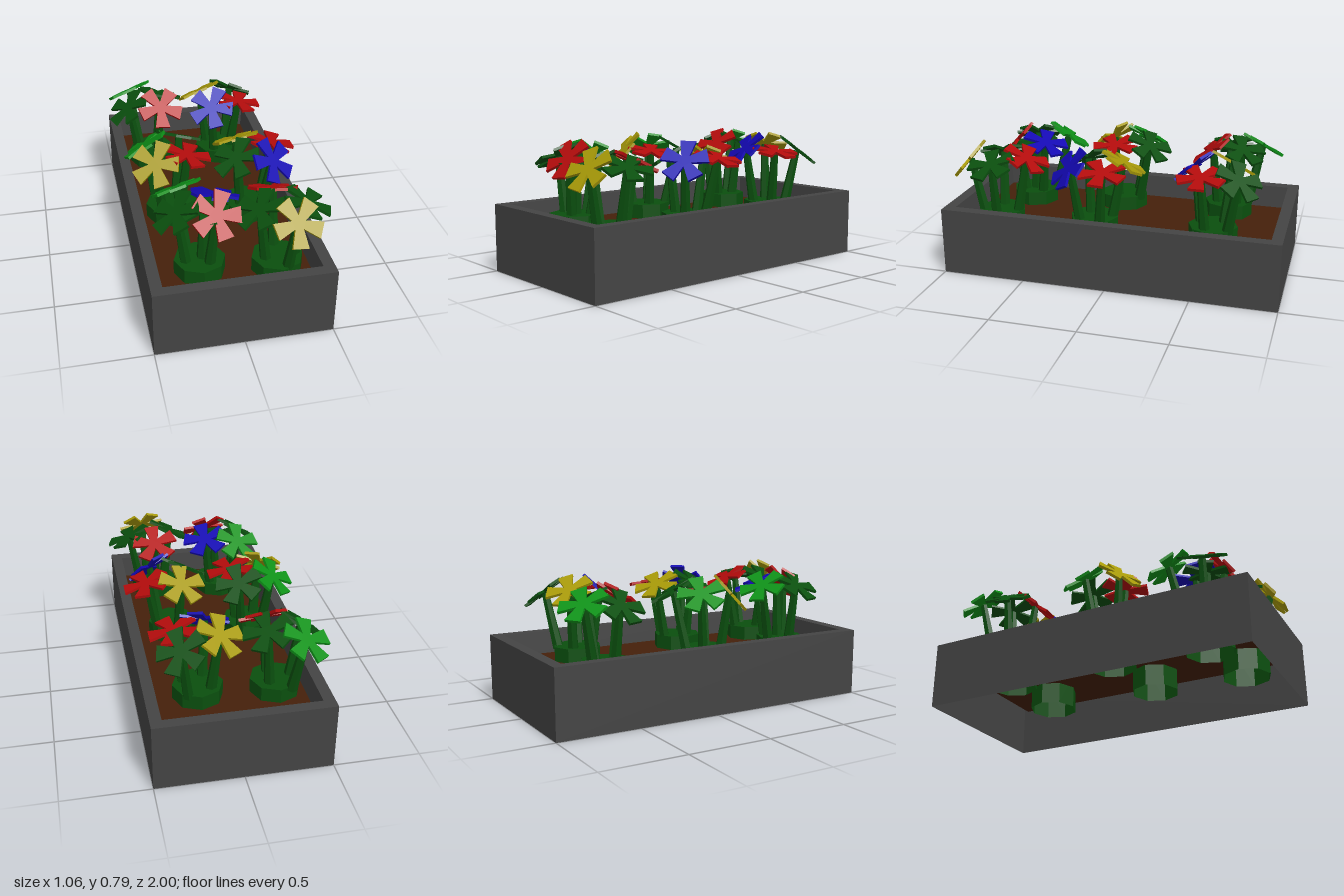
import * as THREE from 'three';

const mat = (color, side = THREE.FrontSide) =>
  new THREE.MeshStandardMaterial({ color, side, flatShading: true });

const SOIL_Y = 0.265;
const leafGreen = 0x0a4f0e;
const COLORS = { leaf: leafGreen, green: 0x0e9218, red: 0xb40c0c, blue: 0x1408b4, yellow: 0xa89a08 };

// Each pot: centre x, z and its flowers [colour, x, y, z, lean in x, lean in z, roll]
const POTS = [
  { x: -0.26, z: -0.59, flowers: [
    ['green', -0.37, 0.68, -0.77, -0.4, -0.5], ['leaf', -0.19, 0.69, -0.67, 0.3, -0.3],
    ['leaf', -0.4, 0.66, -0.57, -0.7, 0.2], ['red', -0.21, 0.68, -0.49, 0.1, 0.8]] },
  { x: 0.18, z: -0.57, flowers: [
    ['yellow', 0.075, 0.69, -0.655, -0.4, -0.5], ['leaf', 0.29, 0.66, -0.72, 0.5, -0.6],
    ['red', 0.3, 0.66, -0.51, 0.2, 0, 0.31], ['blue', 0.115, 0.67, -0.445, -0.3, 0.9]] },
  { x: -0.25, z: 0.08, flowers: [
    ['green', -0.37, 0.68, -0.04, -0.6, -0.4], ['leaf', -0.16, 0.68, -0.1, 0.3, -0.5],
    ['red', -0.15, 0.67, 0.115, 0.2, 0, 0.31], ['yellow', -0.34, 0.67, 0.17, -0.5, 1]] },
  { x: 0.21, z: 0.14, flowers: [
    ['yellow', 0.175, 0.67, -0.025, -0.2, -0.5], ['red', 0.37, 0.66, 0.045, 0.25, -0.05, 0.31],
    ['blue', 0.325, 0.66, 0.25, 0.7, 0.9], ['leaf', 0.13, 0.67, 0.2, -0.5, 0.4]] },
  { x: -0.185, z: 0.66, flowers: [
    ['green', -0.27, 0.68, 0.46, -0.3, -0.6], ['blue', -0.08, 0.67, 0.55, 0.2, -0.35],
    ['red', -0.11, 0.67, 0.74, 0.2, 1.1, 0.31], ['leaf', -0.31, 0.67, 0.68, -0.6, 0.2],
    ['leaf', -0.16, 0.65, 0.65, 0, 0.1]] },
  { x: 0.24, z: 0.72, flowers: [
    ['red', 0.25, 0.67, 0.55, 0.1, -0.5], ['leaf', 0.395, 0.66, 0.71, 0.4, 0.1],
    ['yellow', 0.295, 0.66, 0.88, 0.2, 1.2], ['leaf', 0.13, 0.67, 0.74, -0.5, 0.2]] },
];

// Planter shell: rectangular loops joined outer bottom -> rim -> inner bottom, open below
function planterGeometry() {
  const loops = [[0.5, 0, 1], [0.5, 0.4, 1], [0.435, 0.4, 0.935], [0.425, SOIL_Y, 0.925]];
  const corners = [[1, 1], [1, -1], [-1, -1], [-1, 1]];
  const pos = [];
  const point = (l, c) => [loops[l][0] * corners[c][0], loops[l][1], loops[l][2] * corners[c][1]];
  for (let l = 0; l < loops.length - 1; l++) {
    for (let c = 0; c < 4; c++) {
      const d = (c + 1) % 4;
      const [p, q, r, s] = [point(l, c), point(l, d), point(l + 1, d), point(l + 1, c)];
      pos.push(...p, ...q, ...r, ...p, ...r, ...s);
    }
  }
  const geo = new THREE.BufferGeometry();
  geo.setAttribute('position', new THREE.Float32BufferAttribute(pos, 3));
  geo.computeVertexNormals();
  return geo;
}

// Five flared petals cut from a thin plate, lying flat with one petal toward +z
function blossomGeometry() {
  const pts = [];
  const polar = (r, a) => pts.push(new THREE.Vector2(r * Math.cos(a), r * Math.sin(a)));
  for (let i = 0; i < 5; i++) {
    const a = -Math.PI / 2 + (i * Math.PI * 2) / 5;
    polar(0.04, a - Math.PI / 5);
    polar(0.143, a - 0.33);
    polar(0.143, a + 0.33);
  }
  const geo = new THREE.ExtrudeGeometry(new THREE.Shape(pts), { depth: 0.016, bevelEnabled: false });
  return geo.translate(0, 0, -0.008).rotateX(-Math.PI / 2);
}

export function createModel() {
  const model = new THREE.Group();
  const up = new THREE.Vector3(0, 1, 0);
  const add = (parent, name, geo, material) => {
    const mesh = new THREE.Mesh(geo, material);
    mesh.name = name;
    parent.add(mesh);
    return mesh;
  };

  add(model, 'planterBox', planterGeometry(), mat(0x444444, THREE.DoubleSide));
  const soil = add(model, 'soil', new THREE.PlaneGeometry(0.85, 1.85).rotateX(-Math.PI / 2),
    mat(0x45200a, THREE.DoubleSide));
  soil.position.y = SOIL_Y;

  const blossom = blossomGeometry();
  const leafMat = mat(leafGreen);
  const potMat = mat(leafGreen, THREE.DoubleSide);
  const petalMats = Object.fromEntries(Object.entries(COLORS).map(([k, c]) => [k, mat(c)]));

  for (const pot of POTS) {
    const plant = new THREE.Group();
    plant.name = 'plant';
    model.add(plant);

    // Octagonal base, open at the bottom and closed on top
    const base = add(plant, 'plantBase',
      new THREE.CylinderGeometry(0.145, 0.145, 0.215, 8, 1, true), potMat);
    base.position.set(pot.x, 0.2425, pot.z);
    const cap = add(plant, 'plantBaseTop',
      new THREE.CircleGeometry(0.145, 8).rotateX(-Math.PI / 2), leafMat);
    cap.position.set(pot.x, 0.35, pot.z);

    for (const [color, x, y, z, nx, nz, roll = 0] of pot.flowers) {
      // Stem leaning out from the base to the blossom
      const top = new THREE.Vector3(x, y, z);
      const foot = new THREE.Vector3(pot.x + (x - pot.x) * 0.62, 0.33, pot.z + (z - pot.z) * 0.62);
      const dir = top.clone().sub(foot);
      const stem = add(plant, 'stem', new THREE.CylinderGeometry(0.022, 0.033, dir.length(), 6), leafMat);
      stem.position.copy(foot).add(top).multiplyScalar(0.5);
      stem.quaternion.setFromUnitVectors(up, dir.normalize());

      // Blossom tilted outward
      const head = add(plant, 'blossom', blossom, petalMats[color]);
      const normal = new THREE.Vector3(nx, 1, nz).normalize();
      head.position.copy(top).addScaledVector(normal, 0.01);
      head.quaternion.setFromUnitVectors(up, normal);
      head.rotateY(roll);
    }
  }
  return model;
}
